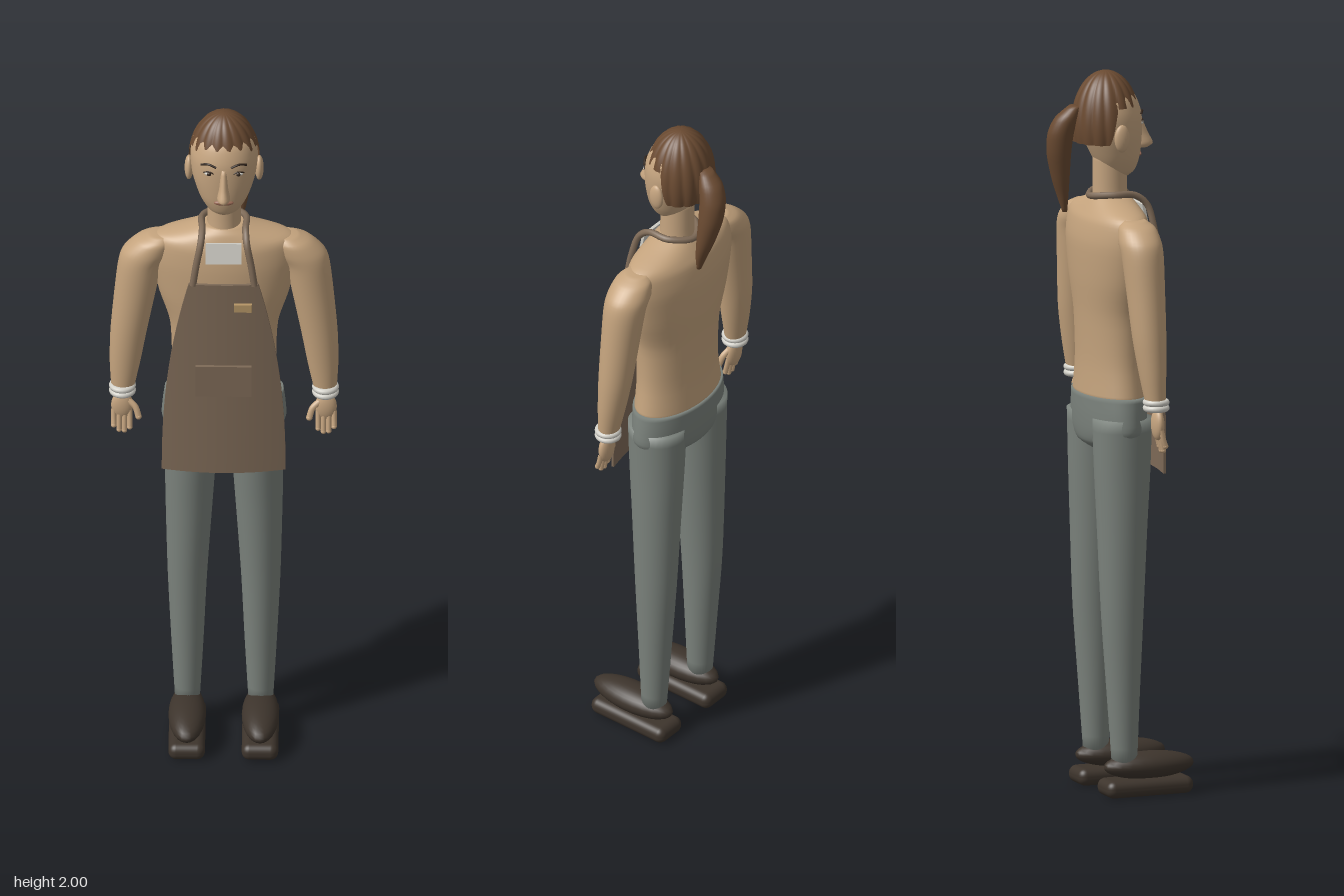
import * as THREE from 'three';
import { RoundedBoxGeometry } from 'three/addons/geometries/RoundedBoxGeometry.js';

const { smoothstep, lerp } = THREE.MathUtils;

function mat(name, color, side = THREE.FrontSide) {
  const m = new THREE.MeshStandardMaterial({ color, side });
  m.name = name;
  return m;
}

// Surface closed around u, open along v (v runs upward).
function wrapSurface(nu, nv, fn) {
  const pos = [], idx = [];
  for (let j = 0; j <= nv; j++)
    for (let i = 0; i < nu; i++) pos.push(...fn((i / nu) * Math.PI * 2, j / nv));
  for (let j = 0; j < nv; j++)
    for (let i = 0; i < nu; i++) {
      const a = j * nu + i, b = j * nu + (i + 1) % nu;
      idx.push(a, b, b + nu, a, b + nu, a + nu);
    }
  const g = new THREE.BufferGeometry();
  g.setAttribute('position', new THREE.Float32BufferAttribute(pos, 3));
  g.setIndex(idx);
  g.computeVertexNormals();
  return g;
}

// Body form from elliptical rings, listed bottom to top: [y, centreX, halfWidth, zFront, zBack].
function loft(rings, side = 1, nu = 32) {
  const centre = new THREE.CatmullRomCurve3(
    rings.map(r => new THREE.Vector3(r[1] * side, r[0], (r[3] + r[4]) / 2)), false, 'catmullrom', 0.4);
  const size = new THREE.CatmullRomCurve3(
    rings.map(r => new THREE.Vector3(r[2], 0, (r[3] - r[4]) / 2)), false, 'catmullrom', 0.4);
  const n = (rings.length - 1) * 4;
  return wrapSurface(nu, n + 2, (a, v) => {
    const row = Math.round(v * (n + 2));
    const t = Math.min(Math.max((row - 1) / n, 0), 1);
    const c = centre.getPoint(t), s = size.getPoint(t);
    const k = row === 0 || row === n + 2 ? 0.001 : 1; // closed ends
    return [c.x + Math.sin(a) * s.x * k, c.y, c.z + Math.cos(a) * s.z * k];
  });
}

export function createModel() {
  const root = new THREE.Group();
  root.name = 'person';
  const skin = mat('skin', 0xc6a580);
  const sweater = mat('sweater', 0xc4a37d);
  const jeans = mat('jeans', 0x7b827c);
  const canvas = mat('apronCanvas', 0x7e6a57);
  const leather = mat('shoeLeather', 0x3d342c);
  const hair = mat('hair', 0x6a4a31, THREE.DoubleSide);
  const white = mat('offWhite', 0xd2d0c8);
  const dark = mat('darkFeatures', 0x33261d);
  const brass = mat('nameTag', 0xb59566);
  const lip = mat('lips', 0x9a6a55);

  const add = (name, geo, material, parent = root) => {
    const m = new THREE.Mesh(geo, material);
    m.name = name;
    parent.add(m);
    return m;
  };
  const ball = (name, material, p, s, parent) => {
    const m = add(name, new THREE.SphereGeometry(1, 24, 16), material, parent);
    m.position.set(...p);
    m.scale.set(...s);
    return m;
  };
  const tube = (name, material, pts, r, parent) => add(name, new THREE.TubeGeometry(
    new THREE.CatmullRomCurve3(pts.map(p => new THREE.Vector3(...p))), pts.length * 6, r, 8), material, parent);

  // Torso and hips
  add('sweaterBody', loft([
    [1.09, 0, 0.158, 0.07, -0.105], [1.2, 0, 0.143, 0.068, -0.1], [1.33, 0, 0.148, 0.072, -0.104],
    [1.43, 0, 0.178, 0.075, -0.112], [1.53, 0, 0.198, 0.073, -0.115], [1.59, 0, 0.198, 0.065, -0.105],
    [1.615, 0, 0.18, 0.056, -0.092], [1.64, 0, 0.1, 0.045, -0.075], [1.655, 0, 0.055, 0.032, -0.062],
  ], 1, 48), sweater);
  add('hips', loft([
    [0.95, 0, 0.06, 0.03, -0.06], [0.975, 0, 0.13, 0.055, -0.095], [1.01, 0, 0.168, 0.067, -0.104],
    [1.06, 0, 0.168, 0.07, -0.107], [1.11, 0, 0.162, 0.072, -0.107],
  ], 1, 48), jeans);

  for (const s of [1, -1]) {
    const label = s > 0 ? 'left' : 'right';

    // Leg and shoe
    add(label + 'Leg', loft([
      [0.09, 0.1, 0.034, 0.02, -0.05], [0.28, 0.1, 0.044, 0.027, -0.064], [0.5, 0.1, 0.054, 0.037, -0.08],
      [0.75, 0.095, 0.065, 0.05, -0.09], [0.9, 0.091, 0.071, 0.06, -0.096], [1.05, 0.088, 0.078, 0.066, -0.1],
    ], s), jeans);
    const shoe = new THREE.Group();
    shoe.name = label + 'Shoe';
    root.add(shoe);
    add('sole', new RoundedBoxGeometry(0.1, 0.048, 0.255, 4, 0.022), leather, shoe).position.set(s * 0.1, 0.024, 0.047);
    ball('upper', leather, [s * 0.1, 0.081, 0.057], [0.051, 0.038, 0.132], shoe);

    // Arm with cuff
    add(label + 'Arm', loft([
      [1.11, 0.277, 0.03, 0.029, -0.023], [1.2, 0.27, 0.042, 0.033, -0.04], [1.3, 0.26, 0.05, 0.037, -0.055],
      [1.43, 0.242, 0.057, 0.04, -0.065], [1.52, 0.228, 0.061, 0.042, -0.072], [1.56, 0.21, 0.066, 0.042, -0.074],
      [1.595, 0.188, 0.052, 0.035, -0.065], [1.613, 0.17, 0.03, 0.015, -0.045],
    ], s), sweater);
    for (const y of [1.108, 1.124]) {
      const cuff = add(label + 'Cuff', new THREE.TorusGeometry(0.028, 0.009, 10, 28), white);
      cuff.rotation.x = Math.PI / 2;
      cuff.position.set(s * 0.277, y, 0.004);
    }

    // Hand
    const hand = new THREE.Group();
    hand.name = label + 'Hand';
    root.add(hand);
    ball('palm', skin, [s * 0.278, 1.062, 0.008], [0.03, 0.044, 0.016], hand);
    for (let i = 0; i < 4; i++) {
      const x = 0.257 + i * 0.0145, tip = 0.988 + [0.01, 0, 0.002, 0.016][i];
      tube('finger', skin, [[s * x, 1.05, 0.01], [s * x, 1.022, 0.016], [s * x, tip, 0.022]], 0.0075, hand);
      ball('fingertip', skin, [s * x, tip, 0.022], [0.0075, 0.0075, 0.0075], hand);
    }
    tube('thumb', skin, [[s * 0.262, 1.08, 0.01], [s * 0.242, 1.062, 0.018], [s * 0.233, 1.035, 0.025]], 0.009, hand);
    ball('thumbTip', skin, [s * 0.233, 1.035, 0.025], [0.009, 0.009, 0.009], hand);

    // Ear, eye and brow
    ball(label + 'Ear', skin, [s * 0.096, 1.825, -0.02], [0.012, 0.038, 0.022]);
    ball(label + 'Eye', white, [s * 0.04, 1.857, 0.058], [0.013, 0.0065, 0.008]);
    ball(label + 'Iris', dark, [s * 0.04, 1.857, 0.063], [0.006, 0.006, 0.005]);
    tube(label + 'EyeLid', dark, [[s * 0.026, 1.859, 0.066], [s * 0.04, 1.865, 0.064], [s * 0.055, 1.858, 0.055]], 0.002);
    tube(label + 'Brow', dark, [[s * 0.02, 1.881, 0.069], [s * 0.042, 1.888, 0.062], [s * 0.062, 1.88, 0.05]], 0.0032);
  }

  // Neck, head and nose
  add('neck', loft([[1.61, 0, 0.052, 0.038, -0.068], [1.66, 0, 0.046, 0.032, -0.064], [1.78, 0, 0.046, 0.03, -0.064]]), skin);
  add('head', loft([
    [1.705, 0, 0.026, 0.035, -0.02], [1.722, 0, 0.046, 0.054, -0.04], [1.76, 0, 0.068, 0.066, -0.064],
    [1.82, 0, 0.087, 0.071, -0.092], [1.88, 0, 0.092, 0.07, -0.108], [1.93, 0, 0.08, 0.052, -0.1], [1.97, 0, 0.045, 0.015, -0.07],
  ], 1, 40), skin);
  add('nose', loft([
    [1.778, 0, 0.012, 0.096, 0.05], [1.79, 0, 0.018, 0.111, 0.05], [1.82, 0, 0.012, 0.096, 0.05], [1.872, 0, 0.008, 0.073, 0.05],
  ], 1, 16), skin);
  ball('lips', lip, [0, 1.764, 0.064], [0.027, 0.008, 0.008]);
  tube('mouthLine', dark, [[-0.029, 1.767, 0.058], [0, 1.765, 0.072], [0.029, 1.767, 0.058]], 0.002);

  // Hair cap with scalloped locks, higher at the forehead than at the nape
  add('hairCap', wrapSurface(144, 20, (a, v) => {
    const low = lerp(-0.3, 0.38, smoothstep(Math.cos(a), -0.3, 0.05));
    const e = lerp(low, Math.PI / 2, v);
    const r = Math.cos(e) * (0.955 + 0.05 * Math.abs(Math.sin(a * 8 + v * 1.2)));
    return [Math.sin(a) * r * 0.098, 1.85 + Math.sin(e) * 0.15, -0.028 + Math.cos(a) * r * 0.095];
  }), hair);
  add('ponytail', loft([
    [1.605, 0.047, 0.007, -0.123, -0.136], [1.65, 0.044, 0.02, -0.122, -0.152], [1.7, 0.038, 0.029, -0.122, -0.17],
    [1.77, 0.028, 0.036, -0.122, -0.188], [1.83, 0.018, 0.037, -0.118, -0.19], [1.875, 0.009, 0.033, -0.108, -0.172],
    [1.908, 0.002, 0.02, -0.1, -0.135],
  ], 1, 24), hair);

  // Shirt front at the neckline
  const shirt = add('shirtFront', new THREE.BoxGeometry(0.098, 0.06, 0.008), white);
  shirt.position.set(0, 1.6, 0.069);
  shirt.rotation.x = -0.2;

  // Apron: a thin panel widening downward and curving back at its edges
  const panel = new THREE.BoxGeometry(2, 1, 0.008, 16, 16, 1);
  const p = panel.attributes.position;
  for (let i = 0; i < p.count; i++) {
    const t = p.getY(i) + 0.5;
    const x = p.getX(i) * (0.169 - 0.074 * Math.pow(t, 2.2));
    p.setXYZ(i, x, 0.9 + t * 0.615, p.getZ(i) + 0.095 - 0.7 * x * x);
  }
  panel.computeVertexNormals();
  add('apron', panel, canvas);
  add('apronPocket', new THREE.BoxGeometry(0.152, 0.097, 0.009), canvas).position.set(0, 1.205, 0.103);
  add('nameTag', new THREE.BoxGeometry(0.048, 0.024, 0.009), brass).position.set(0.053, 1.444, 0.102);

  // Neck strap looping from the bib round the nape
  const half = [[0.084, 1.51, 0.09], [0.075, 1.57, 0.083], [0.063, 1.63, 0.068], [0.059, 1.657, 0.035], [0.058, 1.662, -0.03]];
  const mirrored = half.map(([x, y, z]) => [-x, y, z]).reverse();
  tube('neckStrap', canvas, [...half, [0, 1.655, -0.075], ...mirrored], 0.0095);

  return root;
}
